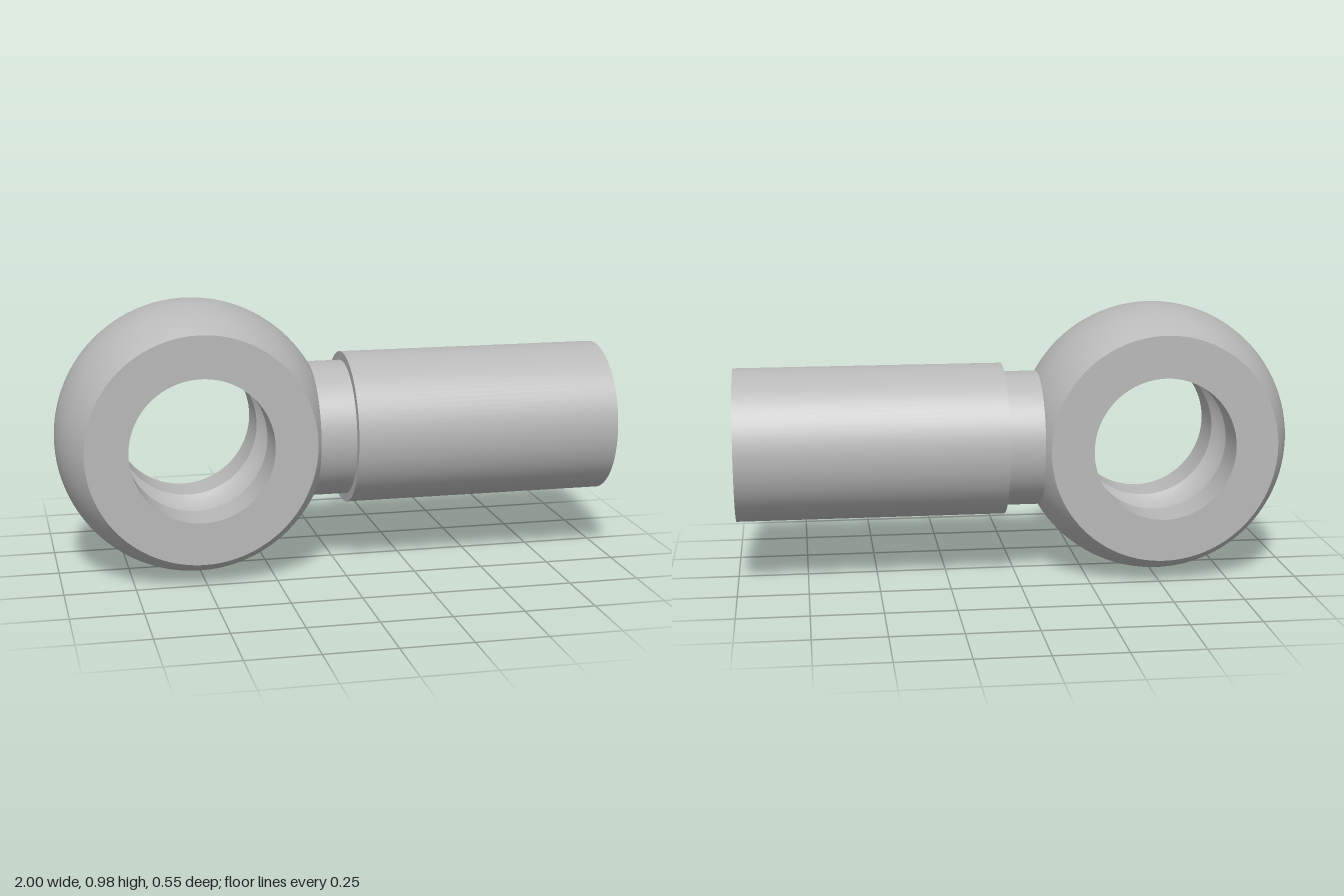
import * as THREE from 'three';
import { mergeGeometries } from 'three/addons/utils/BufferGeometryUtils.js';
import { ParametricGeometry } from 'three/addons/geometries/ParametricGeometry.js';

const CX = -0.512, CY = 0.488;      // centre of the ball-shaped eye
const R = 0.488, HALF = 0.27;       // ball radius and half thickness
const BORE = 0.255, GROOVE = 0.11;  // eye bore and half width of its oil groove
const DUCT = 0.065;                 // radius of the fluid passage

const ballRadius = z => Math.sqrt(R * R - z * z);
const grooveRadius = z => BORE + 0.05 * (1 - (z / GROOVE) ** 2);

export function createModel() {
  const model = new THREE.Group();
  const steel = new THREE.MeshStandardMaterial({ color: 0xb8b8b8, side: THREE.DoubleSide });
  steel.name = 'steel grey';

  const add = (name, geometry) => {
    const mesh = new THREE.Mesh(geometry, steel);
    mesh.name = name;
    mesh.position.y = CY;
    model.add(mesh);
  };
  const lathe = (pts, start = 0, length = Math.PI * 2) =>
    new THREE.LatheGeometry(pts.map(p => new THREE.Vector2(p[0], p[1])), 96, start, length);

  // Straight profile pieces turned separately, so their edges stay sharp
  const sharpLathe = pts => mergeGeometries(pts.slice(1).map((p, i) => lathe([pts[i], p])));

  // Turned surface about z, left open by +-gap around the +x direction
  const openLathe = (radius, half, gap, dir) => {
    const pts = [];
    for (let i = 0; i <= 20; i++) {
      const z = dir * half * (i / 10 - 1);
      pts.push([radius(z), z]);
    }
    return lathe(pts, Math.PI / 2 + gap, Math.PI * 2 - 2 * gap).rotateX(Math.PI / 2).translate(CX, 0, 0);
  };

  // Patch that fills this gap, leaving a round hole of radius h
  const holedPatch = (radius, half, gap, h, dir) => new ParametricGeometry((u, v, out) => {
    const a = dir * u * Math.PI * 2, c = Math.cos(a), s = Math.sin(a);
    const m = Math.max(Math.abs(c), Math.abs(s));
    const t = THREE.MathUtils.lerp(Math.asin(h * c / radius(h * s)), gap * c / m, v);
    const z = THREE.MathUtils.lerp(h * s, half * s / m, v);
    const r = radius(z);
    out.set(CX + r * Math.cos(t), r * Math.sin(t), z);
  }, 64, 12);

  // Eye: truncated ball
  add('eyeBall', openLathe(ballRadius, HALF, 0.6, 1));
  add('eyeBallNeckSide', holedPatch(ballRadius, HALF, 0.6, 0.15, -1));

  // Flat faces and straight bore on each side of the groove
  const face = ballRadius(HALF);
  const sides = [
    sharpLathe([[face, HALF], [BORE, HALF], [BORE, GROOVE]]),
    sharpLathe([[BORE, -GROOVE], [BORE, -HALF], [face, -HALF]]),
  ];
  sides.forEach((g, i) =>
    add(i ? 'eyeBackFaceAndBore' : 'eyeFrontFaceAndBore', g.rotateX(Math.PI / 2).translate(CX, 0, 0)));

  // Rounded groove in the bore, with the passage opening
  add('boreGroove', openLathe(grooveRadius, GROOVE, 0.5, -1));
  add('boreGrooveOpening', holedPatch(grooveRadius, GROOVE, 0.5, DUCT, 1));

  // Neck, sleeve, tapered socket and inner nipple
  const turned = (name, pts) => add(name, sharpLathe(pts).rotateZ(-Math.PI / 2));
  turned('neck', [[0.243, -0.12], [0.243, 0.04]]);
  turned('sleeve', [[0.243, 0.04], [0.274, 0.04], [0.274, 1], [0.24, 1]]);
  turned('socket', [[0.24, 1], [0.205, 0.3], [0.115, 0.3]]);
  turned('nipple', [[0.115, 0.3], [0.103, 1], [DUCT, 1]]);

  // Passage from the nipple tip into the bore groove
  add('passage', new ParametricGeometry((u, v, out) => {
    const a = -u * Math.PI * 2, y = DUCT * Math.cos(a), z = DUCT * Math.sin(a);
    const start = CX + Math.sqrt(grooveRadius(z) ** 2 - y * y);
    out.set(THREE.MathUtils.lerp(start, 1, v), y, z);
  }, 64, 2));

  return model;
}
